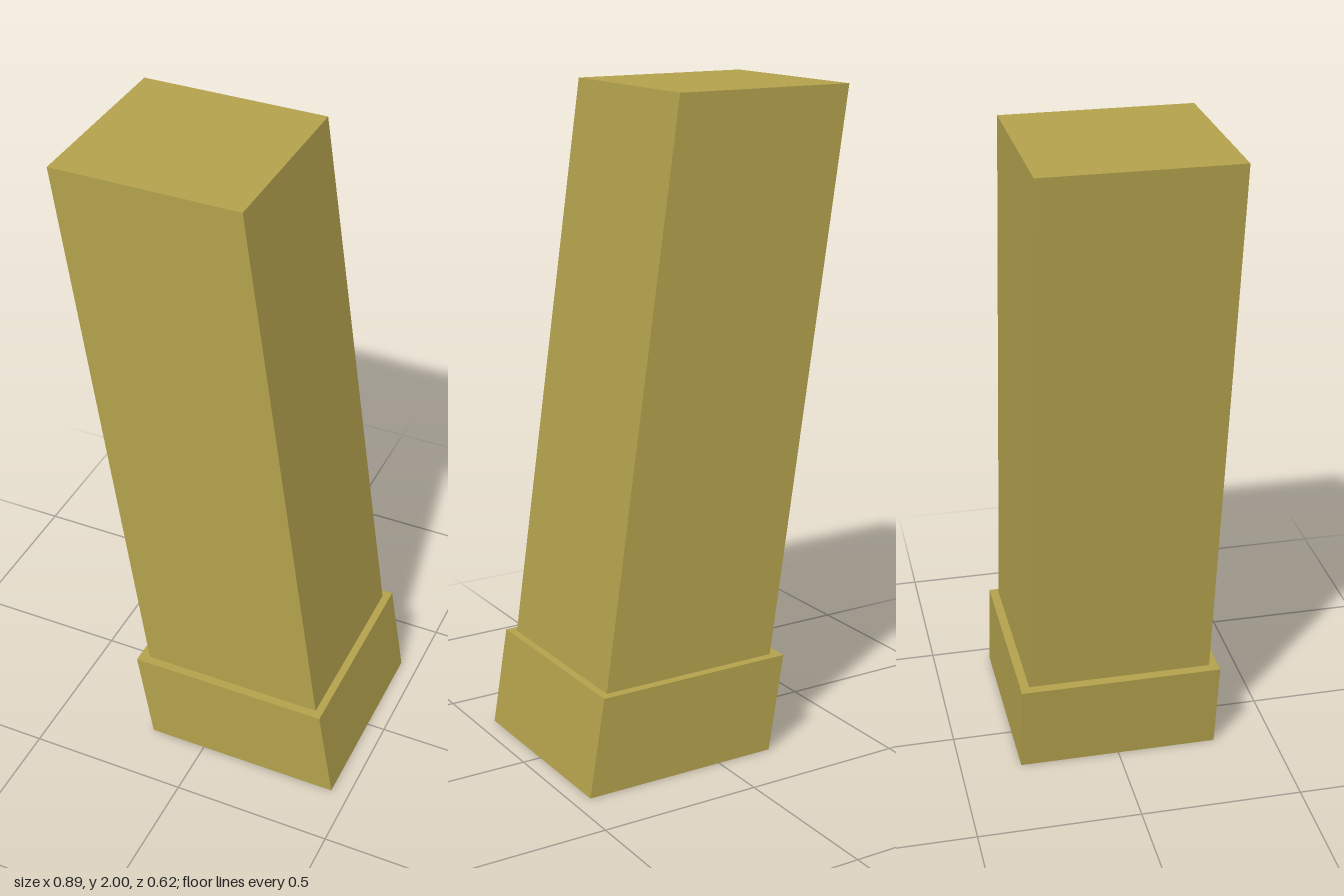
import * as THREE from 'three';

// Square prism from y0 to y1 whose centre slides from x0 to x1
function leaningBlock(name, width, y0, y1, x0, x1, material) {
  const geometry = new THREE.BoxGeometry(width, y1 - y0, width);
  geometry.translate(0, (y0 + y1) / 2, 0);
  const p = geometry.attributes.position;
  for (let i = 0; i < p.count; i++) {
    const t = (p.getY(i) - y0) / (y1 - y0);
    p.setX(i, p.getX(i) + x0 + (x1 - x0) * t);
  }
  geometry.computeVertexNormals();
  const mesh = new THREE.Mesh(geometry, material);
  mesh.name = name;
  return mesh;
}

export function createModel() {
  const group = new THREE.Group();
  group.name = 'leaningPillar';
  const ochre = new THREE.MeshStandardMaterial({ color: 0xb3a14c });
  ochre.name = 'ochre';

  // Wider foot, then the slimmer shaft standing on it
  group.add(leaningBlock('foot', 0.624, 0, 0.3, 0.131, 0.082, ochre));
  group.add(leaningBlock('shaft', 0.569, 0.3, 2, 0.086, -0.159, ochre));
  return group;
}
